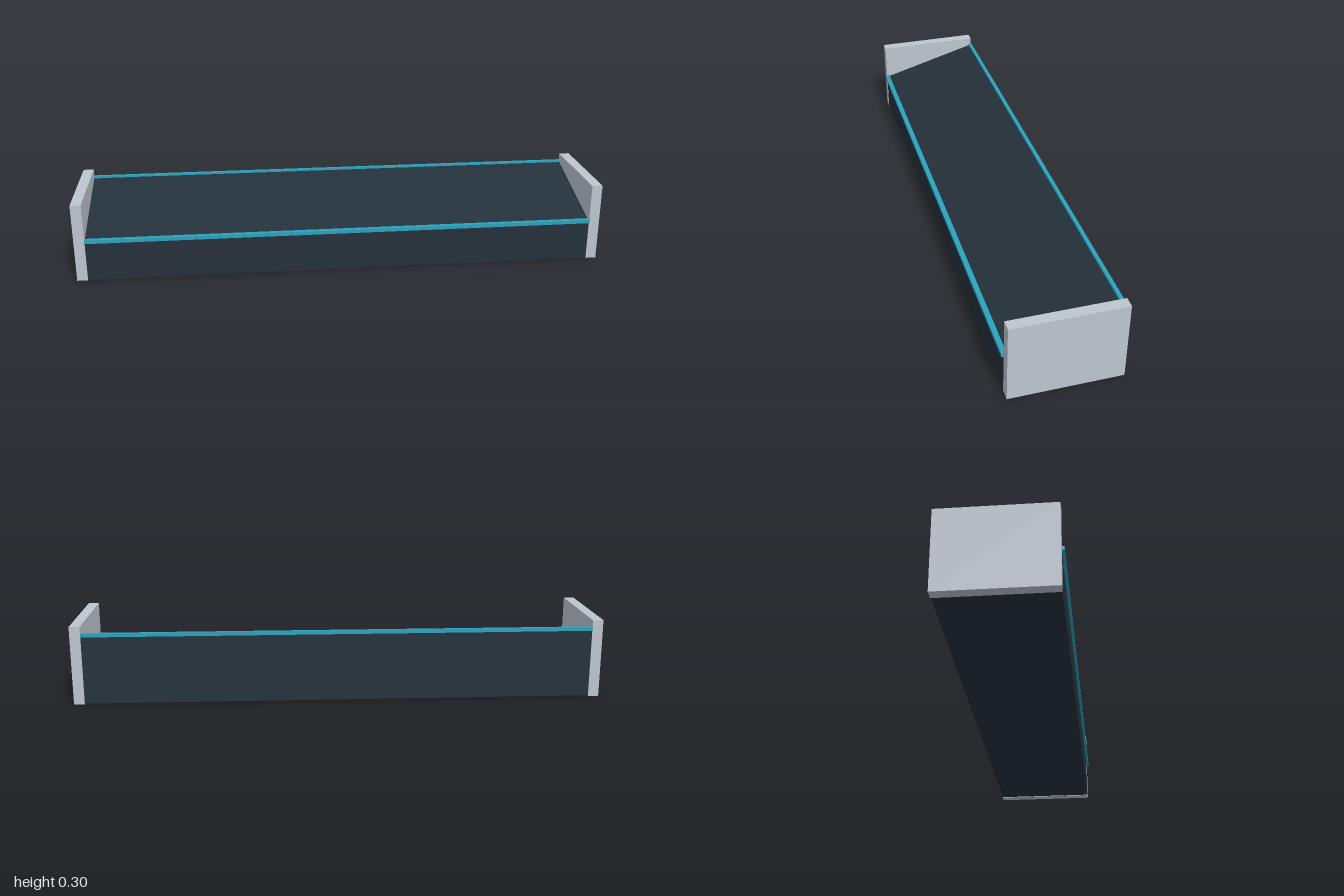
import * as THREE from 'three';

export function createModel() {
  const group = new THREE.Group();
  const dark = new THREE.MeshStandardMaterial({ color: 0x24303a });
  dark.name = 'dark slate';
  const grey = new THREE.MeshStandardMaterial({ color: 0xbfc6d0 });
  grey.name = 'light grey';
  const teal = new THREE.MeshStandardMaterial({ color: 0x2ba3be });
  teal.name = 'teal';

  const add = (name, geometry, material, x = 0, y = 0, z = 0) => {
    const mesh = new THREE.Mesh(geometry, material);
    mesh.name = name;
    mesh.position.set(x, y, z);
    group.add(mesh);
    return mesh;
  };

  // Side profile (z, y) extruded along x
  const extrudeAlongX = (points, width) => {
    const shape = new THREE.Shape(points.map(([z, y]) => new THREE.Vector2(-z, y)));
    const geometry = new THREE.ExtrudeGeometry(shape, { depth: width, bevelEnabled: false });
    return geometry.translate(0, 0, -width / 2).rotateY(Math.PI / 2);
  };

  // Wedge body: low at the front, high at the back
  const frontZ = 0.2, backZ = -0.203, frontTop = 0.155, backTop = 0.268;
  add('wedgeBody', extrudeAlongX(
    [[frontZ, 0.002], [backZ, 0.002], [backZ, backTop], [frontZ, frontTop]], 1.92), dark);

  // Thin inset panel lying on the slope
  add('slopePanel', extrudeAlongX(
    [[0.187, 0.158], [-0.19, 0.264], [-0.189, 0.268], [0.188, 0.162]], 1.87), dark);

  // Upright end plates
  for (const [side, name] of [[1, 'leftEndPlate'], [-1, 'rightEndPlate']]) {
    add(name, new THREE.BoxGeometry(0.04, 0.3, 0.406), grey, side * 0.98, 0.15, -0.002);
  }

  // Trim strips along the two upper edges
  add('frontTrim', new THREE.BoxGeometry(1.92, 0.014, 0.018), teal, 0, 0.157, 0.2);
  add('backTrim', new THREE.BoxGeometry(1.92, 0.014, 0.014), teal, 0, 0.267, -0.201);

  return group;
}
